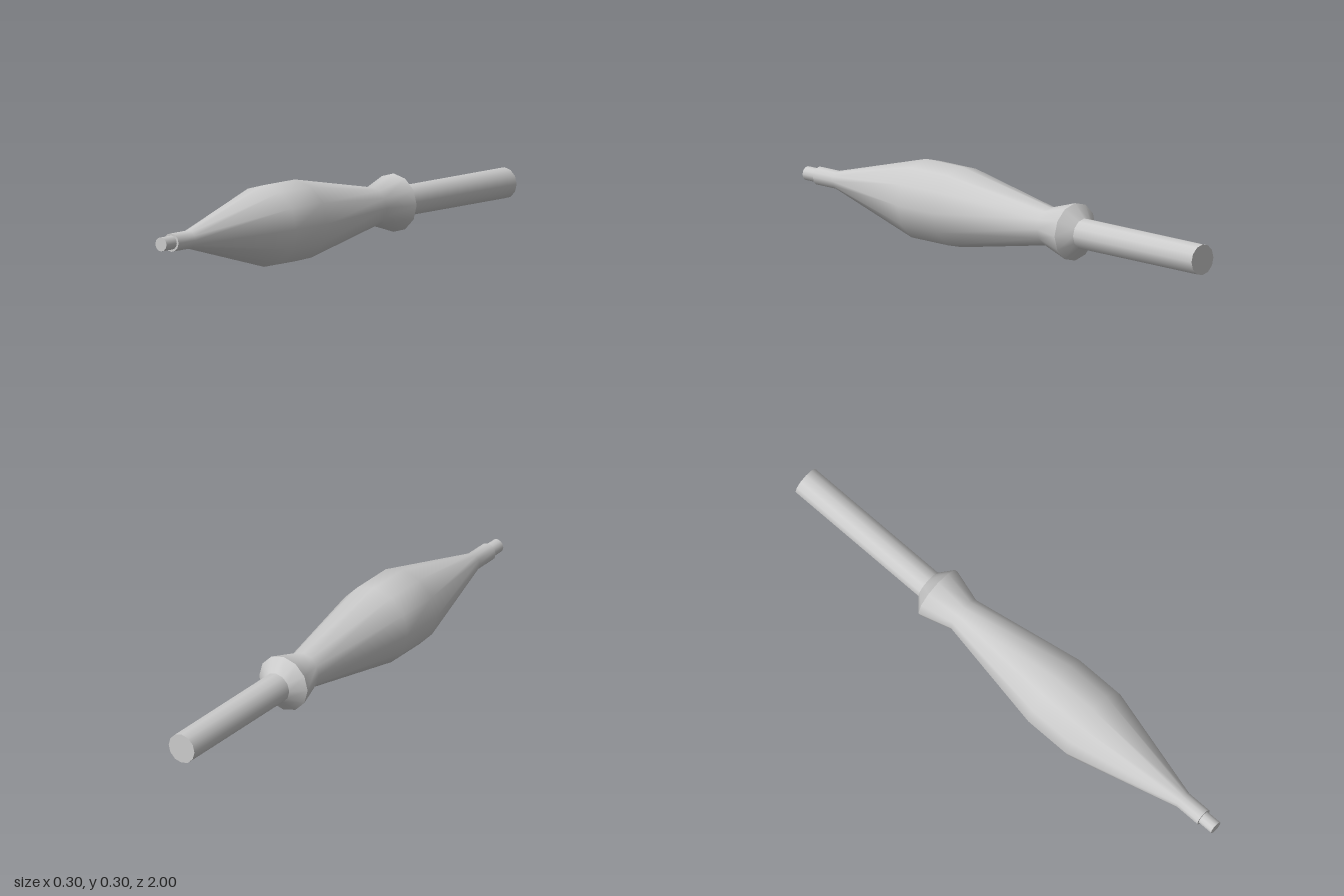
import * as THREE from 'three';

const SIDES = 12;
const AXIS_HEIGHT = 0.15;

export function createModel() {
  const model = new THREE.Group();
  model.name = 'projectile';
  const material = new THREE.MeshStandardMaterial({ color: 0xcccccc });

  // Turned part along z; profile is [z, radius] from back to front.
  function turned(name, profile) {
    const points = profile.map(([z, r]) => new THREE.Vector2(r, z));
    const geometry = new THREE.LatheGeometry(points, SIDES).rotateX(Math.PI / 2);
    const mesh = new THREE.Mesh(geometry, material);
    mesh.name = name;
    mesh.position.y = AXIS_HEIGHT;
    model.add(mesh);
  }

  // Flat disc or ring closing a step, facing forward (1) or backward (-1).
  function face(name, z, inner, outer, direction) {
    const profile = [[z, inner], [z, outer]];
    turned(name, direction > 0 ? profile.reverse() : profile);
  }

  // Rear shaft
  face('shaftEnd', -1, 0, 0.057, -1);
  turned('shaft', [[-1, 0.057], [-0.4, 0.057]]);

  // Bevelled back of the flared collar
  turned('collarBevel', [[-0.4, 0.057], [-0.355, 0.107]]);

  // Smooth body: collar flare, waist, bulge, taper and neck
  turned('body', [
    [-0.355, 0.107], [-0.23, 0.07], [0.22, 0.15],
    [0.4, 0.15], [0.84, 0.034], [0.94, 0.034],
  ]);

  // Stepped nose
  face('neckStep', 0.94, 0.026, 0.034, 1);
  turned('noseTip', [[0.94, 0.026], [1, 0.026]]);
  face('noseEnd', 1, 0, 0.026, 1);

  return model;
}
